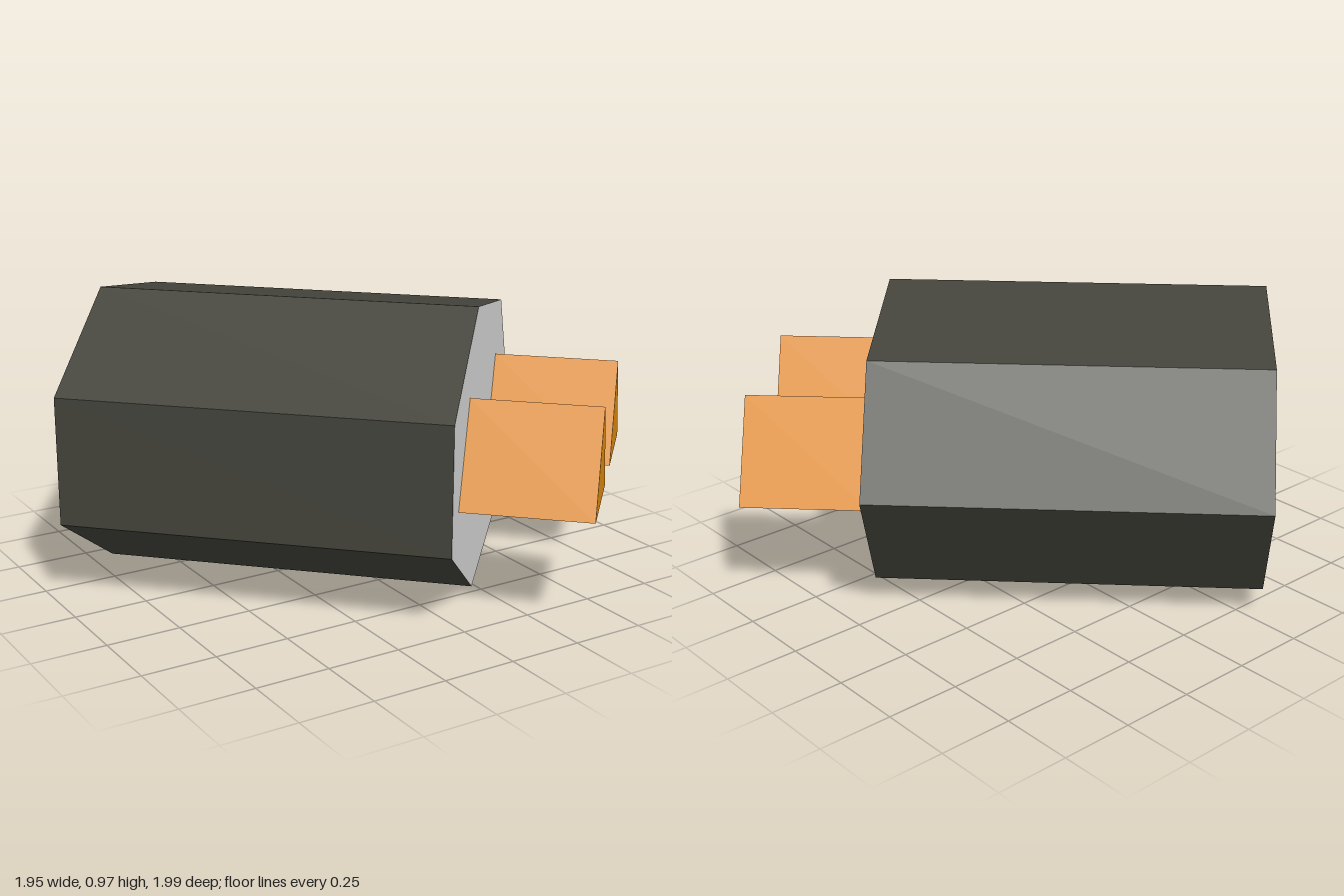
import * as THREE from 'three';

const material = (name, color) => {
  const m = new THREE.MeshStandardMaterial({ color });
  m.name = name;
  return m;
};

// Faceted prism lying along z, with one corner at the given angle
function prism(radius, length, sides, cornerAngle) {
  const g = new THREE.CylinderGeometry(radius, radius, length, sides, 1, false, cornerAngle)
    .rotateX(Math.PI / 2)
    .toNonIndexed();
  g.computeVertexNormals();
  return g;
}

export function createModel() {
  const darkGrey = material('dark grey', 0x44443c);
  const lightGrey = material('light grey', 0xd8d8d8);
  const orange = material('orange', 0xdc8a10);

  const model = new THREE.Group();
  model.name = 'model';

  // Everything is aligned to a diagonal axis
  const assembly = new THREE.Group();
  assembly.name = 'assembly';
  assembly.rotation.y = Math.PI / 4;
  model.add(assembly);

  // Seven-sided body, wider than tall: pale front face, orange back face
  const front = 0.495, back = -0.79;
  const bodyGeometry = prism(1, front - back, 7, Math.PI / 2).scale(0.64, 0.495, 1);
  bodyGeometry.computeVertexNormals();
  const body = new THREE.Mesh(bodyGeometry, [darkGrey, lightGrey, orange]);
  body.name = 'body';
  body.position.set(-0.018, 0.483, (front + back) / 2);
  assembly.add(body);

  // Two triangular prongs on the front face
  const tip = 0.919;
  const prongGeometry = prism(0.213, tip - front, 3, Math.PI);
  [['rightProng', -0.297], ['leftProng', 0.273]].forEach(([name, x]) => {
    const prong = new THREE.Mesh(prongGeometry, orange);
    prong.name = name;
    prong.position.set(x, 0.487, (front + tip) / 2);
    assembly.add(prong);
  });

  return model;
}
